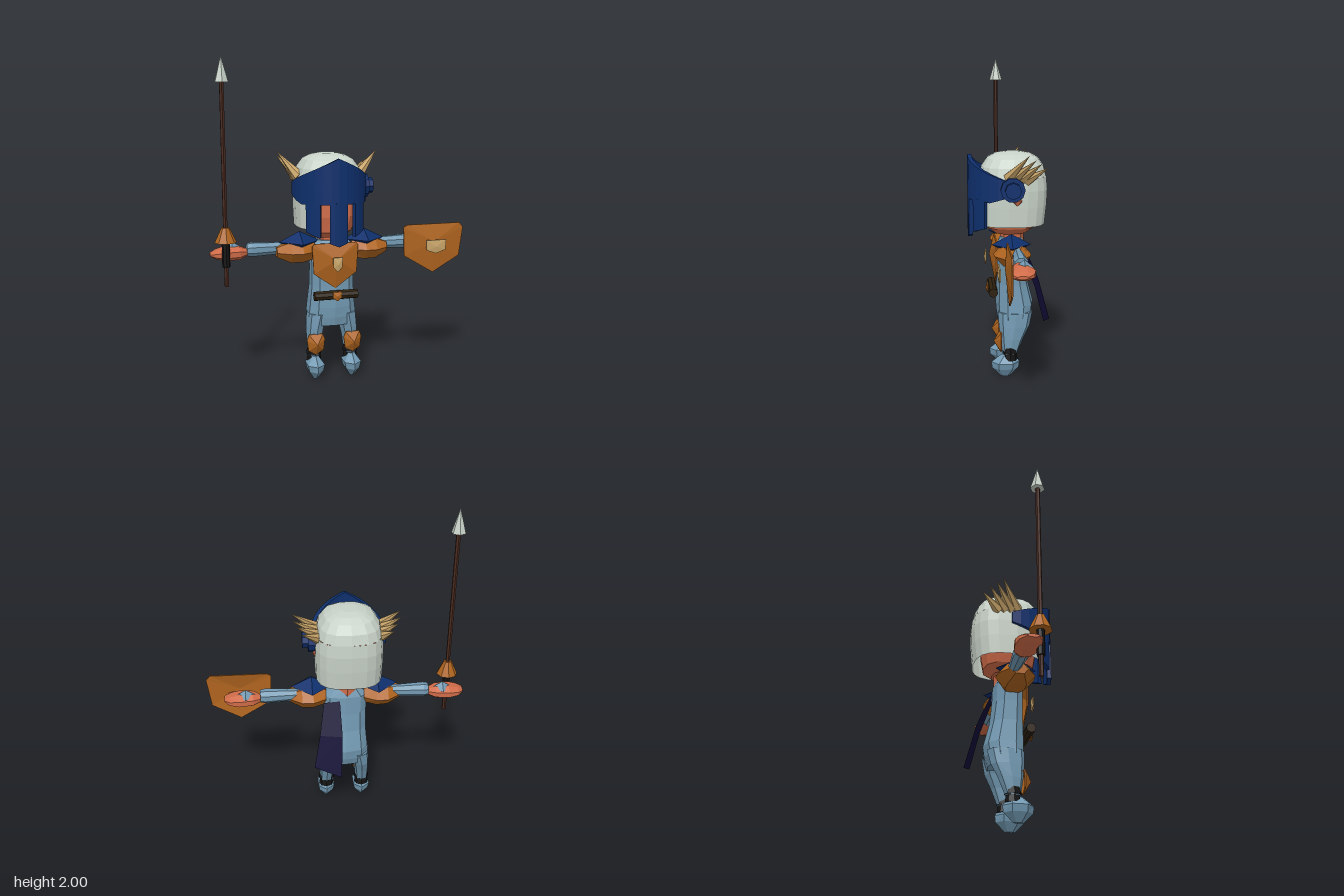
import * as THREE from 'three';

const mat = (name, color, side = THREE.FrontSide) =>
  Object.assign(new THREE.MeshStandardMaterial({ color, side }), { name });
const M = {
  suit: mat('steel blue', 0x7299b2),
  bronze: mat('bronze', 0xb0651f),
  navy: mat('royal blue', 0x0e2f6c),
  helm: mat('pale steel', 0xc8d2c8, THREE.DoubleSide),
  skin: mat('skin', 0xd06c49),
  horn: mat('horn', 0xcba76b),
  wood: mat('spear wood', 0x4a2a1f),
  black: mat('black leather', 0x141414),
  belt: mat('belt brown', 0x2e210f),
  cape: mat('cape indigo', 0x110c36, THREE.DoubleSide),
};
const BODY = -0.056, HEAD = -0.077;

// Faceted surface through rings of points; solids are turned to face outwards
function loft(rings, { solid = true } = {}) {
  const tris = [], n = rings[0].length;
  const tri = (a, b, c) => {
    const area = b.clone().sub(a).cross(c.clone().sub(a)).length();
    if (area > 1e-9) tris.push([a, b, c]);
  };
  for (let i = 0; i < rings.length - 1; i++)
    for (let j = 0; j < (solid ? n : n - 1); j++) {
      const k = (j + 1) % n, p = rings[i], q = rings[i + 1];
      tri(p[j], p[k], q[k]);
      tri(p[j], q[k], q[j]);
    }
  if (solid) {
    const first = rings[0], last = rings[rings.length - 1];
    for (let j = 1; j < n - 1; j++) {
      tri(first[0], first[j + 1], first[j]);
      tri(last[0], last[j], last[j + 1]);
    }
    const volume = tris.reduce((v, [a, b, c]) => v + a.dot(b.clone().cross(c)), 0);
    if (volume < 0) tris.forEach(t => t.reverse());
  }
  const g = new THREE.BufferGeometry().setFromPoints(tris.flat());
  g.computeVertexNormals();
  return g;
}
const V = (x, y, z) => new THREE.Vector3(x, y, z);
const pow = (v, p) => Math.sign(v) * Math.abs(v) ** p;

// Horizontal ring; p below 1 makes it boxier, gap leaves the front open
function ring(n, x, y, z, rx, rz, p = 1, gap = 0) {
  return Array.from({ length: gap ? n + 1 : n }, (_, i) => {
    const t = gap + (i / n) * (Math.PI * 2 - gap * 2);
    return V(x + rx * pow(Math.sin(t), p), y, z + rz * pow(Math.cos(t), p));
  });
}
// Ring around the x axis, for arms and shoulders
const ringX = (n, x, y, z, ry, rz) => Array.from({ length: n }, (_, i) => {
  const t = ((i + 0.5) / n) * Math.PI * 2;
  return V(x, y + ry * Math.cos(t), z + rz * Math.sin(t));
});
// Shield-like plate: outline at zEdge, raised to zMid in the centre
function plate(points, zEdge, zMid, thick = 0.008) {
  const c = points.reduce((s, p) => [s[0] + p[0] / points.length, s[1] + p[1] / points.length], [0, 0]);
  const mid = z => points.map(() => V(c[0], c[1], z));
  const edge = z => points.map(p => V(p[0], p[1], z));
  return loft([mid(zMid), edge(zEdge), edge(zEdge - thick), mid(zMid - thick)]);
}

export function createModel() {
  const model = new THREE.Group();
  const add = (name, geo, material, x = 0, y = 0, z = 0) => {
    let g = geo;
    if (g.index) { g = g.toNonIndexed(); g.computeVertexNormals(); }
    const m = new THREE.Mesh(g, material);
    m.name = name;
    m.position.set(x, y, z);
    model.add(m);
    return m;
  };
  const tube = (name, r1, r2, y0, y1, n, material, x, z) =>
    add(name, new THREE.CylinderGeometry(r1, r2, y1 - y0, n), material, x, (y0 + y1) / 2, z);

  // Torso: height, half width, front z, back z
  add('torso', loft([[0.345, 0.155, 0.07, -0.125], [0.4, 0.158, 0.08, -0.145], [0.465, 0.15, 0.085, -0.155],
    [0.6, 0.138, 0.08, -0.12], [0.72, 0.138, 0.08, -0.105], [0.84, 0.145, 0.075, -0.1], [0.89, 0.1, 0.055, -0.08]]
    .map(([y, rx, f, b]) => ring(10, BODY, y, (f + b) / 2, rx, (f - b) / 2, 0.75))), M.suit);

  for (const s of [1, -1]) {
    const X = off => BODY + s * off;
    // Legs, boots and knee pads
    add('leg', loft([[0.42, 0.09, 0.068, 0.075, -0.145], [0.33, 0.108, 0.055, 0.07, -0.125],
      [0.25, 0.116, 0.048, 0.06, -0.085], [0.15, 0.119, 0.04, 0.045, -0.045]]
      .map(([y, o, rx, f, b]) => ring(8, X(o), y, (f + b) / 2, rx, (f - b) / 2, 0.85))), M.suit);
    tube('ankleStrapUpper', 0.045, 0.05, 0.155, 0.195, 8, M.black, X(0.119), 0);
    tube('ankleStrapLower', 0.04, 0.048, 0.11, 0.155, 8, M.black, X(0.119), 0);
    add('foot', loft([[0, 0.015, 0.03, 0.03], [0.055, 0.052, 0.085, 0.03], [0.095, 0.062, 0.09, 0.03], [0.145, 0.022, 0.04, 0.015]]
      .map(([y, rx, rz, z]) => ring(6, X(0.119), y, z, rx, rz))), M.suit);
    add('kneePad', plate([[-0.045, 0.295], [0.045, 0.295], [0.058, 0.26], [0.048, 0.19], [0, 0.16], [-0.048, 0.19], [-0.058, 0.26]]
      .map(([x, y]) => [X(0.119) + x, y]), 0.062, 0.105), M.bronze);

    // Shoulder armour
    add('pauldron', loft([[0.12, 0.06, 0.07], [0.2, 0.075, 0.115], [0.27, 0.072, 0.11], [0.352, 0.035, 0.05]]
      .map(([o, ry, rz]) => ringX(6, X(o), 0.825, -0.005, ry, rz))), M.bronze);
    add('shoulderPad', new THREE.OctahedronGeometry(1).scale(0.13, 0.064, 0.12), M.navy, X(0.207), 0.884, 0);

    // Arms and hands
    add('sleeve', loft([[0.28, 0.038, 0.032], [0.36, 0.04, 0.035], [0.5, 0.046, 0.046], [0.53, 0.04, 0.04]]
      .map(([o, ry, rz]) => ringX(8, X(o), 0.843, -0.032, ry, rz))), M.suit);
    add('hand', loft([[0.52, 0.018, 0.025, -0.03], [0.575, 0.042, 0.065, -0.028], [0.66, 0.045, 0.078, -0.028],
      [0.72, 0.028, 0.068, -0.025], [0.754, 0.01, 0.035, -0.02]]
      .map(([o, ry, rz, z]) => ringX(8, X(o), 0.828, z, ry, rz))), M.skin);
    add('handGuard', new THREE.OctahedronGeometry(1).scale(0.075, 0.045, 0.052), M.suit, X(0.62), 0.852, -0.04);

    // Spikes fanned along each side of the helmet
    [[0.01, 0.325, 1.437, -0.1], [-0.025, 0.322, 1.41, -0.14], [-0.065, 0.3, 1.385, -0.175],
      [-0.1, 0.27, 1.355, -0.215]].forEach(([z, tip, y, tz], i) => {
      const a = V(HEAD + s * 0.185, 1.285 - i * 0.005, z), b = V(X(tip), y, tz), d = b.clone().sub(a);
      const m = add('helmetSpike', new THREE.ConeGeometry(0.036, d.length(), 6), M.horn);
      m.position.copy(a).addScaledVector(d, 0.5);
      m.quaternion.setFromUnitVectors(V(0, 1, 0), d.normalize());
    });
  }

  // Chest plate, belt bar and buckle
  add('chestPlate', plate([[-0.19, 0.878], [0.078, 0.878], [0.09, 0.86], [0.08, 0.69], [-0.056, 0.593], [-0.192, 0.69], [-0.202, 0.86]],
    0.088, 0.125), M.bronze);
  add('chestEmblem', plate([[-0.086, 0.8], [-0.026, 0.8], [-0.028, 0.74], [-0.056, 0.71], [-0.084, 0.74]], 0.152, 0.16), M.horn);
  add('beltBar', new THREE.CylinderGeometry(0.029, 0.029, 0.275, 8).rotateZ(Math.PI / 2), M.belt, -0.058, 0.555, 0.106);
  add('buckle', plate([[-0.084, 0.58], [-0.028, 0.58], [-0.032, 0.54], [-0.056, 0.522], [-0.08, 0.54]], 0.138, 0.148), M.bronze);

  // Cape hanging to one side of the back
  add('cape', loft([[V(-0.02, 0.82, -0.1), V(0.08, 0.8, -0.08)], [V(-0.03, 0.61, -0.19), V(0.11, 0.6, -0.15)],
    [V(-0.02, 0.345, -0.26), V(0.15, 0.39, -0.2)]], { solid: false }), M.cape);

  // Head
  tube('neck', 0.075, 0.075, 0.85, 0.96, 8, M.skin, HEAD + 0.01, -0.02);
  add('face', loft([[0.915, 0.09, 0.1], [0.955, 0.14, 0.155], [1.05, 0.175, 0.17], [1.2, 0.18, 0.17], [1.34, 0.1, 0.1]]
    .map(([y, rx, rz]) => ring(12, HEAD, y, -0.01, rx, rz, 0.8))), M.skin);
  add('ear', new THREE.IcosahedronGeometry(0.04), M.skin, HEAD + 0.185, 1.145, -0.04);

  // Helmet: sides open at the face, closed dome above
  const helmRing = (y, rx, rz, z, gap) => ring(16, HEAD, y, z, rx, rz, 0.72, gap);
  add('helmetSides', loft([[0.98, 0.205, 0.205, -0.02], [1.1, 0.209, 0.212, -0.026], [1.2, 0.209, 0.215, -0.028], [1.28, 0.203, 0.21, -0.026]]
    .map(r => helmRing(...r, 0.5)), { solid: false }), M.helm);
  add('helmetDome', loft([[1.28, 0.203, 0.21, -0.026], [1.34, 0.185, 0.195, -0.025], [1.39, 0.15, 0.16, -0.025],
    [1.415, 0.105, 0.115, -0.025], [1.427, 0.05, 0.055, -0.025]].map(r => helmRing(...r, 0))), M.helm);

  // Visor: curved shell pieces running from angle a to b (degrees from the front)
  const visorPiece = (name, a, b, n, top, bottom) => add(name, loft(Array.from({ length: n + 1 }, (_, i) => {
    const deg = a + (b - a) * i / n, t = deg * Math.PI / 180, d = Math.abs(deg);
    const at = (k, y) => V(HEAD + 0.228 * k * Math.sin(t), y, 0.258 * k * Math.cos(t));
    return [at(1, top(d)), at(1, bottom(d)), at(0.9, bottom(d)), at(0.9, top(d))];
  })), M.navy);
  const mix = THREE.MathUtils.mapLinear;
  const brow = d => d < 52 ? mix(d, 0, 52, 1.412, 1.32) : mix(d, 52, 95, 1.32, 1.25);
  visorPiece('visorBand', -96, 96, 16, brow, d => d < 50 ? 1.14 : mix(d, 50, 95, 1.12, 1.18));
  visorPiece('noseGuard', -14, 14, 4, () => 1.15, d => mix(d, 0, 14, 0.888, 0.91));
  for (const s of [1, -1])
    visorPiece('cheekGuard', s * 28, s * 52, 3, () => 1.15, d => mix(d, 28, 52, 0.94, 0.97));
  add('visorHinge', new THREE.CylinderGeometry(0.075, 0.075, 0.06, 10).rotateZ(Math.PI / 2), M.navy, 0.14, 1.217, -0.01);
  add('visorKnob', new THREE.CylinderGeometry(0.05, 0.05, 0.05, 8).rotateZ(Math.PI / 2), M.navy, 0.18, 1.217, -0.01);

  // Spear
  const sx = -0.72, sz = 0.04;
  tube('spearShaft', 0.014, 0.014, 0.64, 1.86, 6, M.wood, sx, sz);
  tube('spearGrip', 0.024, 0.024, 0.76, 0.915, 8, M.black, sx, sz);
  tube('spearGuard', 0.024, 0.066, 0.91, 1.0, 8, M.bronze, sx, sz);
  tube('spearHead', 0, 0.044, 1.85, 2.0, 6, M.helm, sx, sz);

  // Shield
  add('shield', plate([[0.403, 0.945], [0.43, 0.96], [0.785, 0.96], [0.81, 0.93], [0.785, 0.745], [0.605, 0.642], [0.41, 0.76]],
    0.048, 0.07), M.bronze);
  add('shieldEmblem', plate([[0.535, 0.865], [0.672, 0.865], [0.667, 0.8], [0.603, 0.778], [0.54, 0.8]], 0.106, 0.112), M.horn);

  return model;
}
